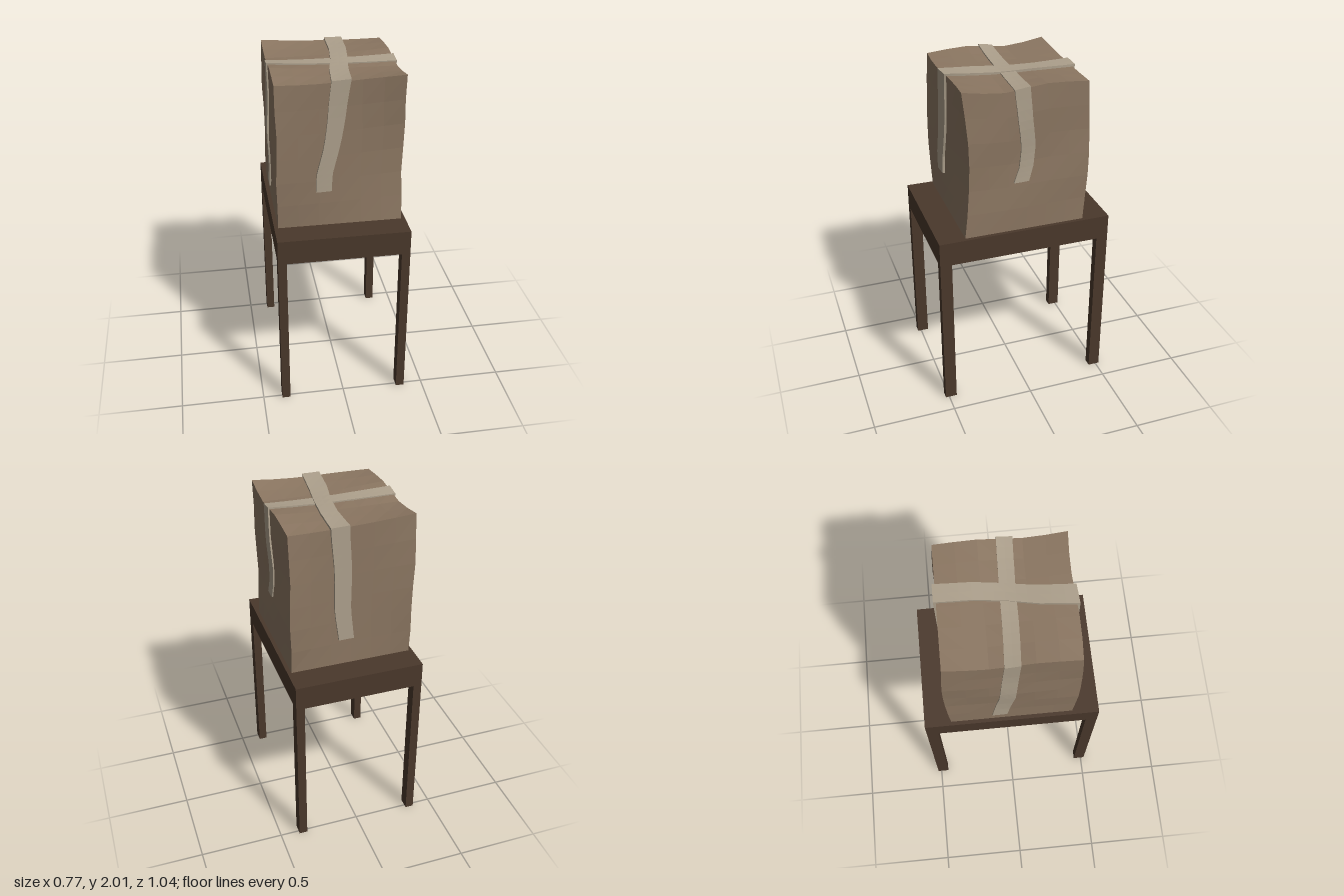
import * as THREE from 'three';

const HALF = 0.362, BASE = 1.12, TOP = 1.978;

// Gentle crumpling shared by the carton and its tape
function warp(v) {
  const t = (v.y - BASE) / (TOP - BASE), u = v.x / HALF, w = v.z / HALF;
  const mid = Math.sin(Math.PI * Math.min(Math.max(t, 0), 1)), front = 0.5 + w / 2;
  v.x += 0.006 * Math.sin(t * 9 + w * 2) * mid;
  v.z += front * mid * (-0.008 - 0.026 * u) - (1 - front) * 0.02 * mid * u * u;
  v.z += 0.007 * front * t * Math.sin(-u * 3.5);
  v.y += t * (0.009 * (u * u + w * w) - 0.013 * u * Math.sin(w * 4.2));
  return v;
}

function reshape(geometry, rule) {
  const pos = geometry.attributes.position, v = new THREE.Vector3();
  for (let i = 0; i < pos.count; i++) {
    rule(v.fromBufferAttribute(pos, i));
    pos.setXYZ(i, v.x, v.y, v.z);
  }
  geometry.computeVertexNormals();
  return geometry;
}

// Tape: a thin strip swept through stations [point, outward normal, half width]
function tapeGeometry(stations, side, lift) {
  const n = stations.length - 1, sub = 3;
  const lerp = (a, b, f) => new THREE.Vector3(...a).lerp(new THREE.Vector3(...b), f);
  return reshape(new THREE.BoxGeometry(1, 1, 1, 2, 1, n * sub), v => {
    const s = (0.5 - v.z) * n, i = Math.min(Math.floor(s + 1e-6), n - 1), f = s - i;
    const a = stations[i], b = stations[i + 1];
    const point = lerp(a[0], b[0], f), normal = lerp(a[1], b[1], f);
    // keep the strip flat on its face between the folded corners
    for (const k of ['x', 'y', 'z']) {
      const both = a[1]['xyz'.indexOf(k)] && b[1]['xyz'.indexOf(k)];
      if (both) normal[k] = Math.sign(normal[k]);
    }
    const half = THREE.MathUtils.lerp(a[2], b[2], f);
    const across = v.x * 2 * half, out = v.y > 0 ? lift : -0.006;
    point.addScaledVector(side, across).addScaledVector(normal, out);
    v.copy(warp(point));
  });
}

export function createModel() {
  const model = new THREE.Group();
  const wood = new THREE.MeshStandardMaterial({ color: 0x4a382b });
  const card = new THREE.MeshStandardMaterial({ color: 0x8c7762, flatShading: true });
  const tape = new THREE.MeshStandardMaterial({ color: 0xada08c, flatShading: true, side: THREE.DoubleSide });
  const add = (parent, name, geometry, material, x = 0, y = 0, z = 0) => {
    const mesh = new THREE.Mesh(geometry, material);
    mesh.name = name;
    mesh.position.set(x, y, z);
    parent.add(mesh);
  };

  // Table: thick slab on four corner legs
  const table = new THREE.Group();
  table.name = 'table';
  add(table, 'tableTop', new THREE.BoxGeometry(0.77, 0.147, 1.044), wood, 0, 1.0475, 0);
  for (const x of [-1, 1]) for (const z of [-1, 1])
    add(table, (z > 0 ? 'front' : 'back') + (x > 0 ? 'Left' : 'Right') + 'Leg',
      new THREE.BoxGeometry(0.05, 0.976, 0.07), wood, x * 0.36, 0.488, z * 0.487);
  model.add(table);

  // Carton: subdivided box, crumpled
  const parcel = new THREE.Group();
  parcel.name = 'parcel';
  const carton = new THREE.BoxGeometry(HALF * 2, TOP - BASE, HALF * 2, 6, 6, 6);
  carton.translate(0, (TOP + BASE) / 2, 0);
  add(parcel, 'carton', reshape(carton, warp), card);

  // Tape from front, over the top, down the back
  const F = [0, 0, 1], U = [0, 1, 0], B = [0, 0, -1], H = HALF;
  add(parcel, 'lengthwiseTape', tapeGeometry([
    [[-0.092, 1.34, H], F, 0.044], [[-0.088, 1.45, H], F, 0.046], [[-0.058, 1.6, H], F, 0.046],
    [[-0.027, 1.78, H], F, 0.05], [[0, TOP, H], [0, 1, 1], 0.055], [[0.02, TOP, 0.17], U, 0.054],
    [[0.05, TOP, 0], U, 0.05], [[0.069, TOP, -0.17], U, 0.05], [[0.074, TOP, -H], [0, 1, -1], 0.053],
    [[0.062, 1.75, -H], B, 0.05], [[0.052, 1.5, -H], B, 0.048], [[0.035, 1.29, -H], B, 0.045],
  ], new THREE.Vector3(1, 0, 0), 0.014), tape);

  // Tape from the left side, over the top, down the right side
  const L = [1, 0, 0], R = [-1, 0, 0];
  add(parcel, 'crosswiseTape', tapeGeometry([
    [[H, 1.43, 0.052], L, 0.045], [[H, 1.52, 0.025], L, 0.042], [[H, 1.64, 0.012], L, 0.042],
    [[H, 1.8, 0.022], L, 0.042], [[H, TOP, 0.024], [1, 1, 0], 0.044], [[0.18, TOP, 0.022], U, 0.044],
    [[0, TOP, 0.012], U, 0.043], [[-0.18, TOP, 0.005], U, 0.043], [[-H, TOP, 0], [-1, 1, 0], 0.043],
    [[-H, 1.75, -0.012], R, 0.043], [[-H, 1.5, -0.025], R, 0.043], [[-H, 1.2, -0.07], R, 0.043],
  ], new THREE.Vector3(0, 0, 1), 0.009), tape);
  model.add(parcel);
  return model;
}
